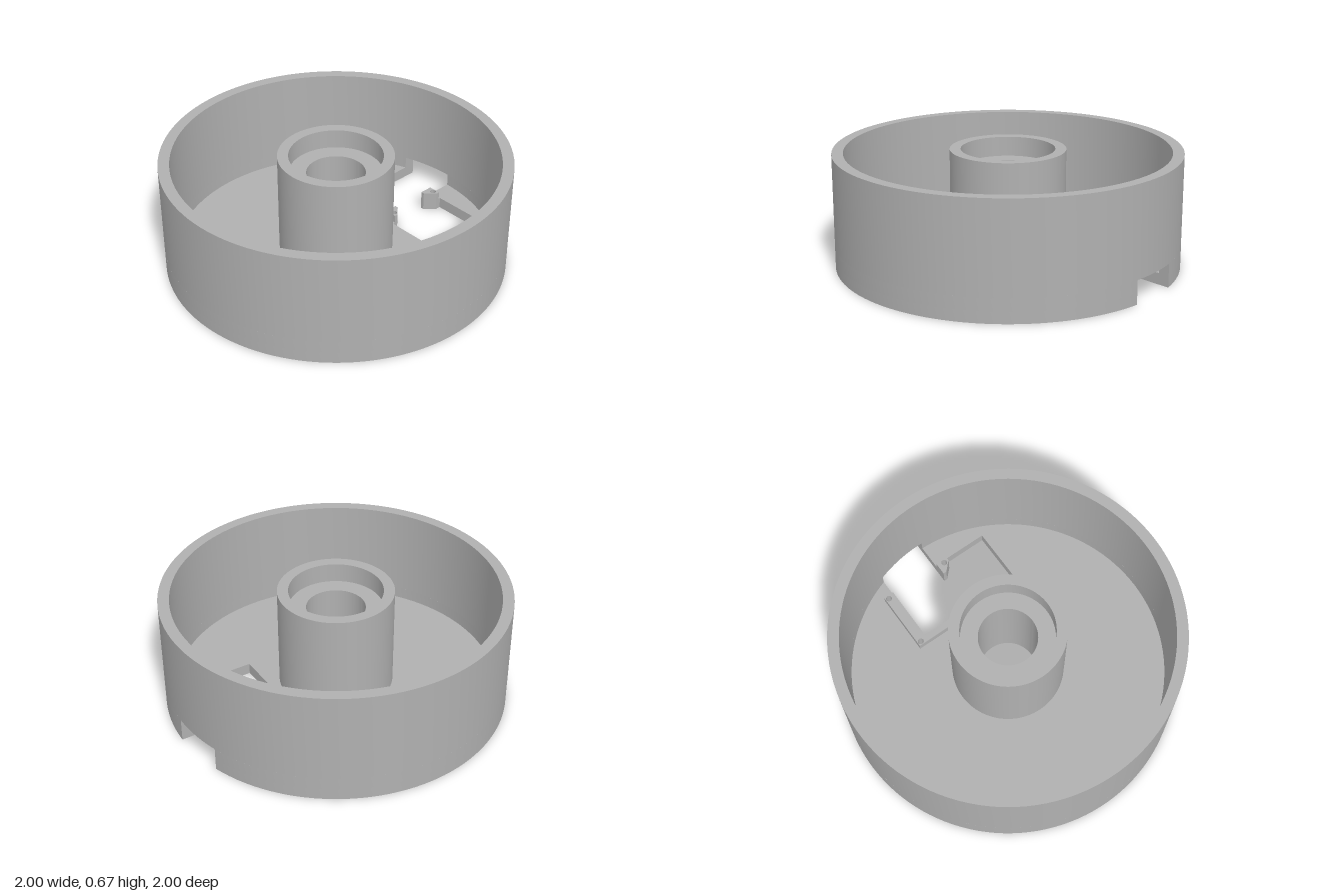
import * as THREE from 'three';
import { toCreasedNormals } from 'three/addons/utils/BufferGeometryUtils.js';

const HEIGHT = 0.67, FLOOR = 0.067, NOTCH = 0.14, HOLDER = 0.115;
const INNER = 0.935;
const NOTCH_L = -0.3, NOTCH_R = 0.02; // x limits of the rear cable slot

// Plan points are (x, distance towards the back)
const screws = [[-0.343, 0.757], [0.064, 0.757], [-0.343, 0.417], [0.064, 0.417]];
const rearPost = [[0.02, 0.7], [0.04, 0.7], [0.095, 0.755]];
const frontEdge = [
  [0.095, 0.415], [0.04, 0.473], [0.02, 0.473], [0.02, 0.42],
  [-0.09, 0.42], [-0.09, 0.435], [NOTCH_L, 0.435],
];

function circle(x, y, r) {
  const path = new THREE.Path();
  path.absarc(x, y, r, 0, Math.PI * 2, true);
  return path;
}

function polygon(points) {
  return new THREE.Shape(points.map(([x, y]) => new THREE.Vector2(x, y)));
}

// Extrudes a plan shape upwards between two heights
function slab(shape, bottom, top) {
  const geometry = new THREE.ExtrudeGeometry(shape, {
    depth: top - bottom, bevelEnabled: false, curveSegments: 60,
  });
  geometry.rotateX(-Math.PI / 2);
  geometry.translate(0, bottom, 0);
  return toCreasedNormals(geometry, 0.5);
}

function turned(points) {
  const profile = points.map(([r, y]) => new THREE.Vector2(r, y));
  return toCreasedNormals(new THREE.LatheGeometry(profile, 120), 0.5);
}

export function createModel() {
  const group = new THREE.Group();
  const grey = new THREE.MeshStandardMaterial({ color: 0xb0b0b0 });
  grey.name = 'plain grey';

  const add = (name, geometry) => {
    const mesh = new THREE.Mesh(geometry, grey);
    mesh.name = name;
    group.add(mesh);
  };

  const start = (r) => Math.acos(NOTCH_L / r);
  const end = (r) => Math.acos(NOTCH_R / r) + Math.PI * 2;

  // Floor with centre bore, board opening and slot through the rear edge
  const floor = new THREE.Shape();
  floor.absarc(0, 0, 1, start(1), end(1), false);
  const opening = [...rearPost, [0.095, 0.79], [0.37, 0.79], [0.37, 0.38], [0.095, 0.38], ...frontEdge];
  opening.forEach(([x, y]) => floor.lineTo(x, y));
  floor.closePath();
  floor.holes.push(circle(0, 0, 0.17), ...screws.map(([x, y]) => circle(x, y, 0.018)));
  add('floor', slab(floor, 0, FLOOR));

  // Wall: lower part broken by the slot, upper part a full ring
  const lower = new THREE.Shape();
  lower.absarc(0, 0, 1, start(1), end(1), false);
  lower.absarc(0, 0, INNER, end(INNER), start(INNER), true);
  lower.closePath();
  add('lowerWall', slab(lower, FLOOR, NOTCH));
  add('upperWall', turned([[1, NOTCH], [1, HEIGHT], [INNER, HEIGHT], [INNER, NOTCH], [1, NOTCH]]));

  // Central hub with a stepped bearing seat
  add('hub', turned([
    [0.333, FLOOR], [0.333, HEIGHT], [0.27, HEIGHT],
    [0.27, 0.555], [0.17, 0.555], [0.17, FLOOR],
  ]));

  // Raised board holder with screw holes
  const rail = polygon([
    [NOTCH_L, 0.778], [-0.364, 0.778], [-0.364, 0.396], [0.095, 0.396], ...frontEdge,
  ]);
  rail.holes.push(...[0, 2, 3].map((i) => circle(screws[i][0], screws[i][1], 0.018)));
  add('boardRail', slab(rail, FLOOR, HOLDER));

  const post = polygon([[0.02, 0.778], ...rearPost, [0.095, 0.778]]);
  post.holes.push(circle(screws[1][0], screws[1][1], 0.018));
  add('boardPost', slab(post, FLOOR, HOLDER));

  return group;
}
